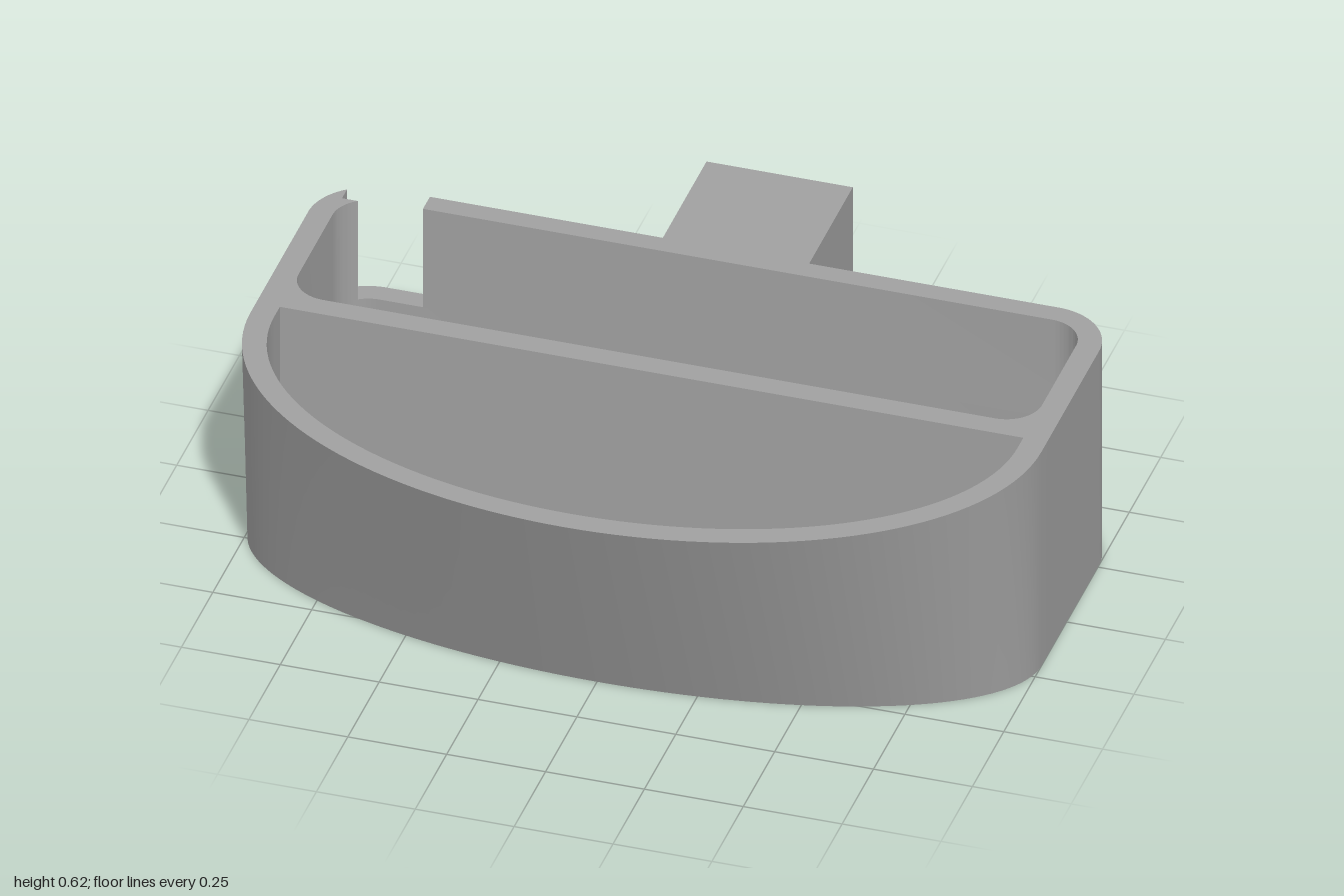
import * as THREE from 'three';
import { toCreasedNormals } from 'three/addons/utils/BufferGeometryUtils.js';

const H = 0.62, FLOOR = 0.06, BOSS = 0.11, SILL = 0.335, DIV = 0.155;
const PI = Math.PI;

// Shapes are drawn in plan: shape x = x, shape y = z
function roundedRect(P, x0, x1, z0, z1, r) {
  // r: corner radii at [x0z0, x1z0, x1z1, x0z1]
  const s = new P();
  s.moveTo(x0 + r[0], z0);
  s.lineTo(x1 - r[1], z0);
  if (r[1]) s.absarc(x1 - r[1], z0 + r[1], r[1], -PI / 2, 0, false);
  s.lineTo(x1, z1 - r[2]);
  if (r[2]) s.absarc(x1 - r[2], z1 - r[2], r[2], 0, PI / 2, false);
  s.lineTo(x0 + r[3], z1);
  if (r[3]) s.absarc(x0 + r[3], z1 - r[3], r[3], PI / 2, PI, false);
  s.lineTo(x0, z0 + r[0]);
  if (r[0]) s.absarc(x0 + r[0], z0 + r[0], r[0], PI, PI * 1.5, false);
  return s;
}

function circle(x, z, r) {
  const p = new THREE.Path();
  p.absarc(x, z, r, 0, PI * 2, true);
  return p;
}

// Vertical prism of a plan shape between two heights
function prism(shape, y0, y1) {
  const g = new THREE.ExtrudeGeometry(shape, { depth: y1 - y0, bevelEnabled: false, curveSegments: 12 });
  g.rotateX(PI / 2);
  g.translate(0, y1, 0);
  return toCreasedNormals(g, 0.5);
}

const trayOutline = () => roundedRect(THREE.Shape, -1, 1, -0.41, DIV, [0.15, 0.15, 0, 0]);

// Upper wall ring, left open where the cable notch cuts the back corner
function notchedWall() {
  const s = new THREE.Shape();
  s.moveTo(-0.74, -0.41);
  s.lineTo(0.85, -0.41);
  s.absarc(0.85, -0.26, 0.15, -PI / 2, 0, false);
  s.lineTo(1, DIV);
  s.lineTo(-1, DIV);
  s.lineTo(-1, -0.26);
  s.absarc(-0.85, -0.26, 0.15, PI, PI + Math.atan2(0.8, 0.6), false);
  s.lineTo(-0.94, -0.34);
  s.lineTo(-0.9, -0.34);
  s.absarc(-0.85, -0.265, 0.09, PI + Math.atan2(0.075, 0.05), PI, true);
  s.lineTo(-0.94, 0.005);
  s.absarc(-0.85, 0.005, 0.09, PI, PI / 2, true);
  s.lineTo(0.85, 0.095);
  s.absarc(0.85, 0.005, 0.09, PI / 2, 0, true);
  s.lineTo(0.94, -0.265);
  s.absarc(0.85, -0.265, 0.09, 0, -PI / 2, true);
  s.lineTo(-0.74, -0.355);
  s.closePath();
  return s;
}

// Curved front wall: four strips joining half-ellipse rails
function bowGeometry() {
  const N = 72;
  const rail = (a, b, y) => {
    const pts = [[a, y, DIV]];
    for (let i = 0; i <= N; i++) {
      const t = (PI * i) / N;
      pts.push([a * Math.cos(t), y, 0.2 + b * Math.sin(t)]);
    }
    pts.push([-a, y, DIV]);
    return pts;
  };
  const outB = rail(1, 0.39, 0), outT = rail(1, 0.66, H);
  const inT = rail(0.94, 0.6, H), inB = rail(0.94, 0.33, 0);
  const pos = [], idx = [];
  for (const [A, B] of [[outB, outT], [outT, inT], [inT, inB], [inB, outB]]) {
    const o = pos.length / 3, n = A.length;
    for (const p of [...A, ...B]) pos.push(...p);
    for (let i = 0; i < n - 1; i++) {
      const a = o + i, b = o + n + i;
      idx.push(a, b, a + 1, a + 1, b, b + 1);
    }
  }
  const g = new THREE.BufferGeometry();
  g.setAttribute('position', new THREE.Float32BufferAttribute(pos, 3));
  g.setIndex(idx);
  g.computeVertexNormals();
  return g;
}

export function createModel() {
  const model = new THREE.Group();
  model.name = 'holder';
  const grey = new THREE.MeshStandardMaterial({ color: 0xa0a0a0 });
  grey.name = 'grey';
  const add = (name, geometry) => {
    const m = new THREE.Mesh(geometry, grey);
    m.name = name;
    model.add(m);
  };
  const screwZ = [-0.215, -0.04];

  // Tray floor with counterbores, and the raised pad above them
  const base = trayOutline();
  screwZ.forEach((z) => base.holes.push(circle(-0.72, z, 0.074)));
  add('trayFloor', prism(base, 0, FLOOR));
  const pad = roundedRect(THREE.Shape, -0.94, -0.545, -0.355, 0.095, [0.09, 0, 0, 0.09]);
  screwZ.forEach((z) => pad.holes.push(circle(-0.72, z, 0.043)));
  add('screwPad', prism(pad, FLOOR, BOSS));

  // Tray walls below and above the notch sill
  const wall = trayOutline();
  wall.holes.push(roundedRect(THREE.Path, -0.94, 0.94, -0.355, 0.095, [0.09, 0.09, 0.09, 0.09]));
  add('lowerTrayWall', prism(wall, FLOOR, SILL));
  add('upperTrayWall', prism(notchedWall(), SILL, H));

  // Sloping front wall around the open pocket
  add('frontWall', bowGeometry());

  // Rear block: drilled base, side slot layer, solid top
  const blockPlan = () => roundedRect(THREE.Shape, -0.185, 0.185, -0.865, -0.41, [0, 0, 0, 0]);
  const blockBase = blockPlan();
  [-0.083, 0.083].forEach((x) => blockBase.holes.push(circle(x, -0.715, 0.037)));
  add('rearBlockBase', prism(blockBase, 0, 0.08));
  const slot = new THREE.Shape([
    [-0.185, -0.865], [0.185, -0.865], [0.185, -0.79], [-0.13, -0.79],
    [-0.13, -0.64], [0.185, -0.64], [0.185, -0.41], [-0.185, -0.41],
  ].map(([x, z]) => new THREE.Vector2(x, z)));
  add('rearBlockSlot', prism(slot, 0.08, 0.15));
  add('rearBlockTop', prism(blockPlan(), 0.15, 0.545));

  return model;
}
